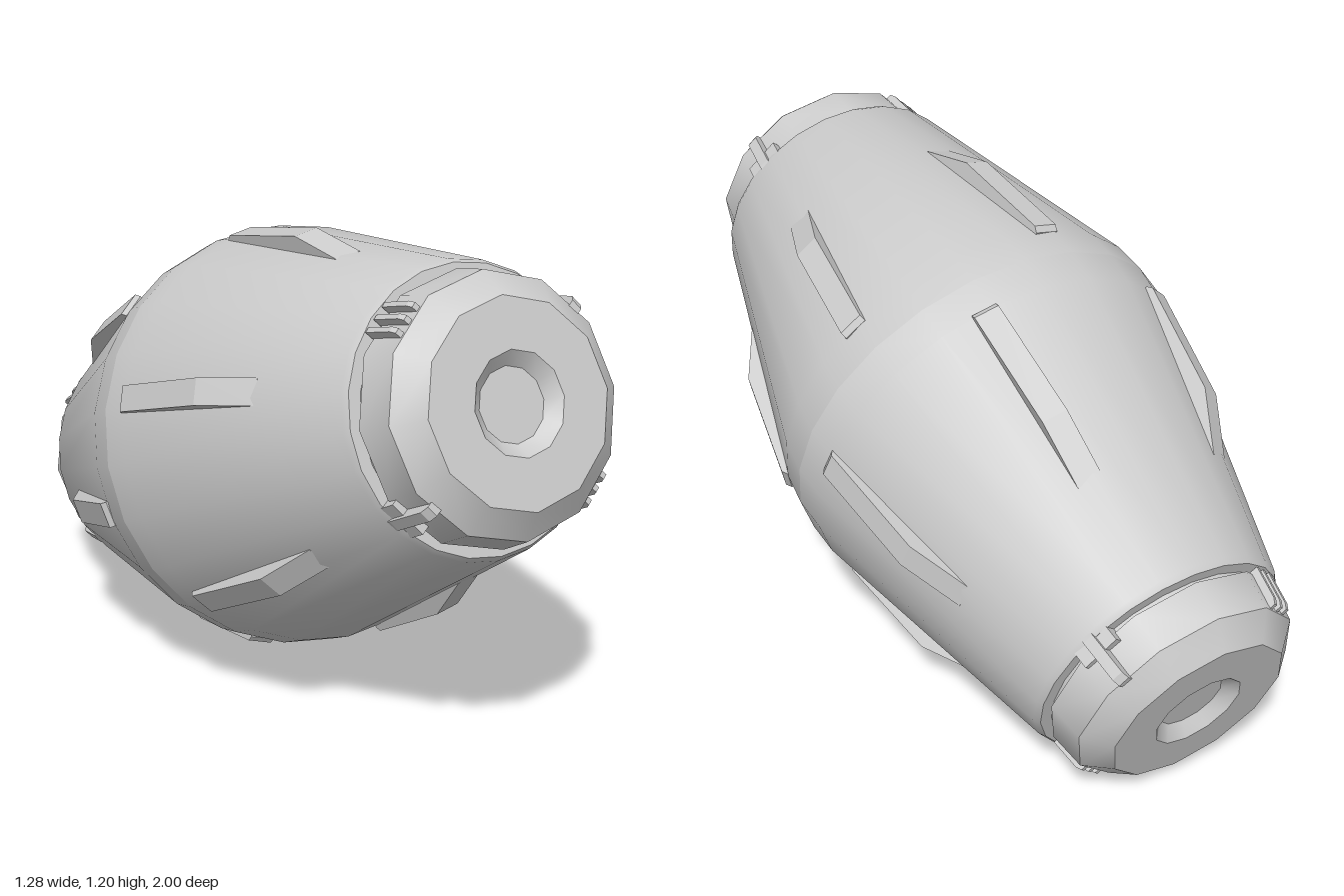
import * as THREE from 'three';
import { toCreasedNormals } from 'three/addons/utils/BufferGeometryUtils.js';

const material = new THREE.MeshStandardMaterial({ color: 0xcccccc });
const rad = THREE.MathUtils.degToRad;

function addMesh(parent, name, geometry) {
  const mesh = new THREE.Mesh(geometry, material);
  mesh.name = name;
  parent.add(mesh);
}

// Turned part along local z; profile points are [radius, distance from the middle]
function turned(profile, sides) {
  const points = profile.map(([r, s]) => new THREE.Vector2(r, s));
  return toCreasedNormals(new THREE.LatheGeometry(points, sides).rotateX(Math.PI / 2), 0.6);
}

// Plate cut from a side profile of [distance, radius], placed around the axis
const upright = new THREE.Matrix4().makeBasis(
  new THREE.Vector3(0, 0, 1), new THREE.Vector3(1, 0, 0), new THREE.Vector3(0, 1, 0));
function plate(profile, width, angle, shift = 0) {
  const shape = new THREE.Shape(profile.map(([s, r]) => new THREE.Vector2(s, r)));
  const geometry = new THREE.ExtrudeGeometry(shape, { depth: width, bevelEnabled: false });
  return geometry.translate(0, 0, shift - width / 2).applyMatrix4(upright).rotateZ(angle);
}

const hullProfile = [[0.548, 0], [0.54, 0.09], [0.345, 0.835], [0.335, 0.85], [0.305, 0.85], [0.305, 0.875]];
const capProfile = [[0.29, 0.862], [0.32, 0.862], [0.304, 0.96], [0.24, 1.017], [0.12, 1.017], [0.087, 0.985], [0, 0.985]];
const finProfile = [[0.085, 0.48], [0.56, 0.36], [0.56, 0.413], [0.41, 0.497], [0.1, 0.55], [0.085, 0.54]];
const ribProfile = [[0.855, 0.27], [0.955, 0.27], [0.955, 0.31], [0.94, 0.318], [0.855, 0.33]];
const clipProfile = [[0.82, 0.27], [0.965, 0.27], [0.965, 0.305], [0.95, 0.32], [0.845, 0.342], [0.82, 0.342]];
const clipFoot = [[0.84, 0.27], [0.885, 0.27], [0.885, 0.325], [0.84, 0.335]];

// One half of the barrel; turn = -1 builds the rear half, rotated to face backwards
function makeHalf(name, turn, finStart) {
  const half = new THREE.Group();
  half.name = name;
  addMesh(half, 'hull', turned(hullProfile, 24));
  addMesh(half, 'endCap', turned(capProfile, 12));

  // Six ramped fins
  for (let i = 0; i < 6; i++) {
    addMesh(half, 'fin', plate(finProfile, 0.066, rad(turn * (finStart + i * 60))));
  }
  // Opposite pairs of cap ribs and locking clips
  for (const side of [0, 180]) {
    const ribAngle = rad(turn * (134 + side));
    for (const shift of [-0.036, 0, 0.036]) {
      addMesh(half, 'capRib', plate(ribProfile, 0.014, ribAngle, shift));
    }
    const clipAngle = rad(turn * (40 + side));
    addMesh(half, 'clip', plate(clipProfile, 0.03, clipAngle));
    addMesh(half, 'clipFoot', plate(clipFoot, 0.1, clipAngle));
  }
  if (turn < 0) half.rotation.x = Math.PI;
  return half;
}

export function createModel() {
  const model = new THREE.Group();
  model.name = 'barrelPod';
  const body = new THREE.Group();
  body.name = 'tiltedBody';
  body.add(makeHalf('frontHalf', 1, 43), makeHalf('rearHalf', -1, 13));

  // Tilt the long axis up, forward and to the right
  const axis = new THREE.Vector3(-0.379, 0.325, 0.866).normalize();
  const across = new THREE.Vector3(axis.z, 0, -axis.x).normalize();
  const up = new THREE.Vector3().crossVectors(axis, across);
  body.quaternion.setFromRotationMatrix(new THREE.Matrix4().makeBasis(across, up, axis));
  body.position.y = 0.6;
  model.add(body);
  return model;
}
